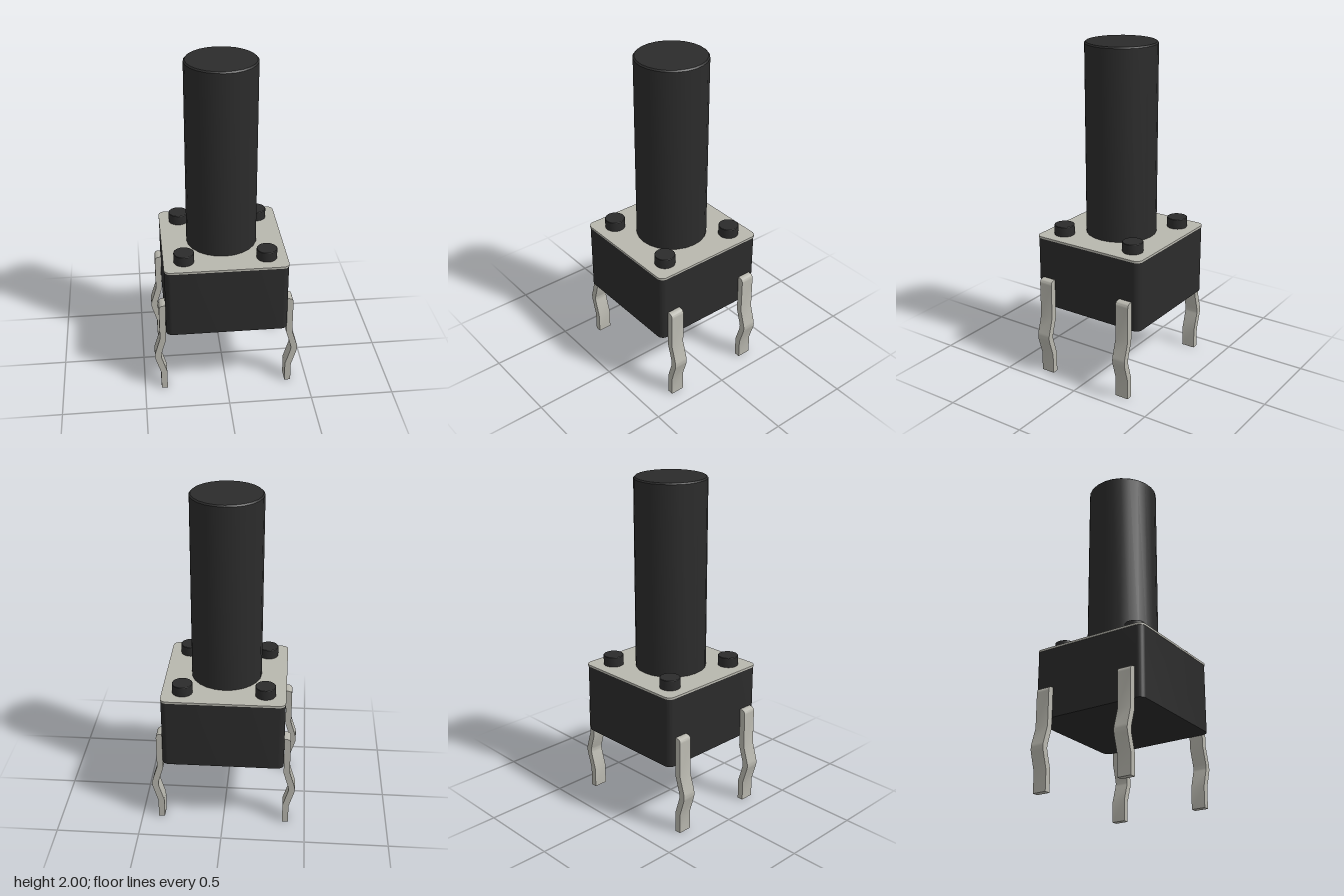
import * as THREE from 'three';
import { toCreasedNormals } from 'three/addons/utils/BufferGeometryUtils.js';

const dark = new THREE.MeshStandardMaterial({ color: 0x2b2b2b });
const metal = new THREE.MeshStandardMaterial({ color: 0xb8b7ae });

function addMesh(parent, name, geometry, material) {
  const mesh = new THREE.Mesh(geometry, material);
  mesh.name = name;
  parent.add(mesh);
  return mesh;
}

// Upright square slab with rounded vertical corners
function roundedSlab(half, radius, bottom, top) {
  const s = new THREE.Shape();
  const c = half - radius;
  s.absarc(c, c, radius, 0, Math.PI / 2);
  s.absarc(-c, c, radius, Math.PI / 2, Math.PI);
  s.absarc(-c, -c, radius, Math.PI, Math.PI * 1.5);
  s.absarc(c, -c, radius, Math.PI * 1.5, Math.PI * 2);
  s.closePath();
  const g = new THREE.ExtrudeGeometry(s, { depth: top - bottom, bevelEnabled: false, curveSegments: 6 });
  g.rotateX(-Math.PI / 2).translate(0, bottom, 0);
  return toCreasedNormals(g, 0.6);
}

// Round post with a small chamfer at its top edge
function post(radius, bottom, top, chamfer, sides) {
  const profile = [
    [0, bottom], [radius, bottom], [radius, top - chamfer], [radius - chamfer, top], [0, top],
  ].map(([x, y]) => new THREE.Vector2(x, y));
  return toCreasedNormals(new THREE.LatheGeometry(profile, sides), 0.6);
}

// Kinked strip leg, on the +x side, centred on z = 0
function legGeometry(width) {
  const s = new THREE.Shape();
  s.moveTo(0.363, 0);
  s.lineTo(0.4, 0);
  s.lineTo(0.4, 0.12);
  s.lineTo(0.431, 0.222);
  s.quadraticCurveTo(0.437, 0.245, 0.431, 0.268);
  s.lineTo(0.4, 0.37);
  s.lineTo(0.4, 0.58);
  s.quadraticCurveTo(0.4, 0.608, 0.372, 0.608);
  s.lineTo(0.34, 0.608);
  s.lineTo(0.34, 0.57);
  s.lineTo(0.363, 0.57);
  s.lineTo(0.363, 0.365);
  s.lineTo(0.393, 0.265);
  s.quadraticCurveTo(0.399, 0.245, 0.393, 0.225);
  s.lineTo(0.363, 0.125);
  s.closePath();
  const g = new THREE.ExtrudeGeometry(s, { depth: width, bevelEnabled: false, curveSegments: 5 });
  g.translate(0, 0, -width / 2);
  return toCreasedNormals(g, 0.4);
}

export function createModel() {
  const model = new THREE.Group();
  model.name = 'pushButtonSwitch';

  // Housing and its thin metal cover
  addMesh(model, 'housing', roundedSlab(0.362, 0.04, 0.43, 0.852), dark);
  addMesh(model, 'coverPlate', roundedSlab(0.364, 0.04, 0.852, 0.864), metal);

  // Tall plunger
  addMesh(model, 'plunger', post(0.211, 0.85, 2, 0.008, 24), dark);

  // Corner rivets and legs
  const rivet = post(0.06, 0.85, 0.924, 0.002, 32);
  const leg = legGeometry(0.084);
  for (const x of [1, -1]) {
    for (const z of [1, -1]) {
      addMesh(model, 'rivet', rivet, dark).position.set(x * 0.243, 0, z * 0.243);
      const l = addMesh(model, 'leg', leg, metal);
      l.position.z = z * 0.273;
      l.rotation.y = x > 0 ? 0 : Math.PI;
    }
  }
  return model;
}
